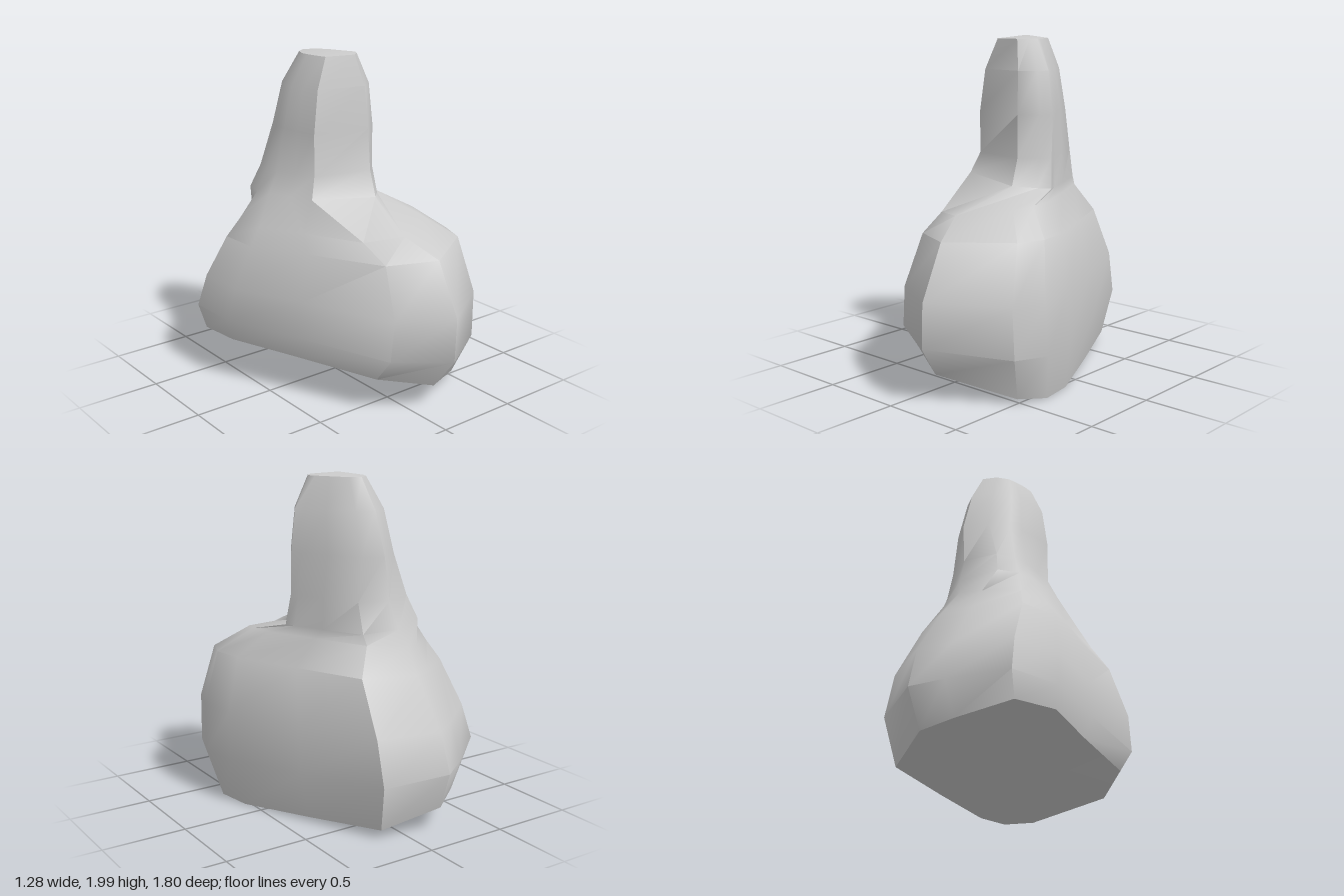
import * as THREE from 'three';
import { toCreasedNormals } from 'three/addons/utils/BufferGeometryUtils.js';

// Plan outlines [x, z], matched point for point, starting at the back tip
const BODY = [[-.2, -.9], [.18, -.8], [.4, -.3], [.6, .18], [.64, .42], [.57, .62],
  [.15, .9], [-.18, .73], [-.43, .17], [-.63, -.25], [-.64, -.57], [-.37, -.79]];
const COLLAR = [[-.08, -.48], [.1, -.43], [.2, -.23], [.27, -.08], [.29, -.03], [.25, .03],
  [.16, .12], [-.2, .05], [-.25, -.07], [-.29, -.19], [-.3, -.28], [-.27, -.39]];
const STUMP = [[-.05, -.47], [.07, -.42], [.18, -.24], [.26, -.1], [.29, -.03], [.25, .04],
  [.15, .12], [-.2, .06], [-.23, -.06], [-.24, -.18], [-.24, -.26], [-.18, -.38]];

// Heights with the outline's extent: y, xMin, xMax, zMin, zMax, slope along x, slope along z
const SECTIONS = [
  [BODY, .139, -.61, .57, -.82, .77, -.264, .058],
  [BODY, .35, -.64, .64, -.9, .9, -.1, 0],
  [BODY, .6, -.6, .63, -.84, .9, -.03, 0],
  [BODY, .9, -.52, .57, -.66, .75, .03, 0],
  [BODY, 1.03, -.45, .39, -.56, .55, .11, -.05],
  [COLLAR, 1.15, -.36, .31, -.53, .18, -.09, .04],
  [COLLAR, 1.3, -.3, .29, -.48, .13, 0, 0],
  [STUMP, 1.55, -.24, .29, -.47, .12, 0, 0],
  [STUMP, 1.8, -.2, .26, -.4, .1, 0, 0],
  [STUMP, 1.98, -.11, .17, -.3, .06, 0, 0],
];

// Fit an outline into its extent and slope it
function ring([outline, y, x0, x1, z0, z1, slopeX, slopeZ]) {
  const xs = outline.map(p => p[0]), zs = outline.map(p => p[1]);
  const fit = (v, all, lo, hi) => THREE.MathUtils.mapLinear(v, Math.min(...all), Math.max(...all), lo, hi);
  return outline.map(p => {
    const x = fit(p[0], xs, x0, x1), z = fit(p[1], zs, z0, z1);
    return new THREE.Vector3(x, y + slopeX * x + slopeZ * z, z);
  });
}

// Skin the rings and close both ends with fans
function loft(rings) {
  const n = rings[0].length, points = rings.flat(), index = [];
  const middle = r => r.reduce((s, p) => s.add(p), new THREE.Vector3()).divideScalar(n);
  const last = (rings.length - 1) * n, bottom = points.length, top = bottom + 1;
  points.push(middle(rings[0]), middle(rings[rings.length - 1]).setY(2));
  for (let i = 0; i < n; i++) {
    const j = (i + 1) % n;
    for (let k = 0; k < last; k += n) {
      index.push(k + i, k + n + i, k + j, k + j, k + n + i, k + n + j);
    }
    index.push(bottom, i, j, top, last + j, last + i);
  }
  const geometry = new THREE.BufferGeometry().setFromPoints(points);
  geometry.setIndex(index);
  return toCreasedNormals(geometry, .85);
}

export function createModel() {
  const group = new THREE.Group();
  group.name = 'rockFormation';
  // Broad skewed base rising into an off-centre stump
  const rock = new THREE.Mesh(
    loft(SECTIONS.map(ring)),
    new THREE.MeshStandardMaterial({ color: 0xcccccc }),
  );
  rock.name = 'rock';
  group.add(rock);
  return group;
}
